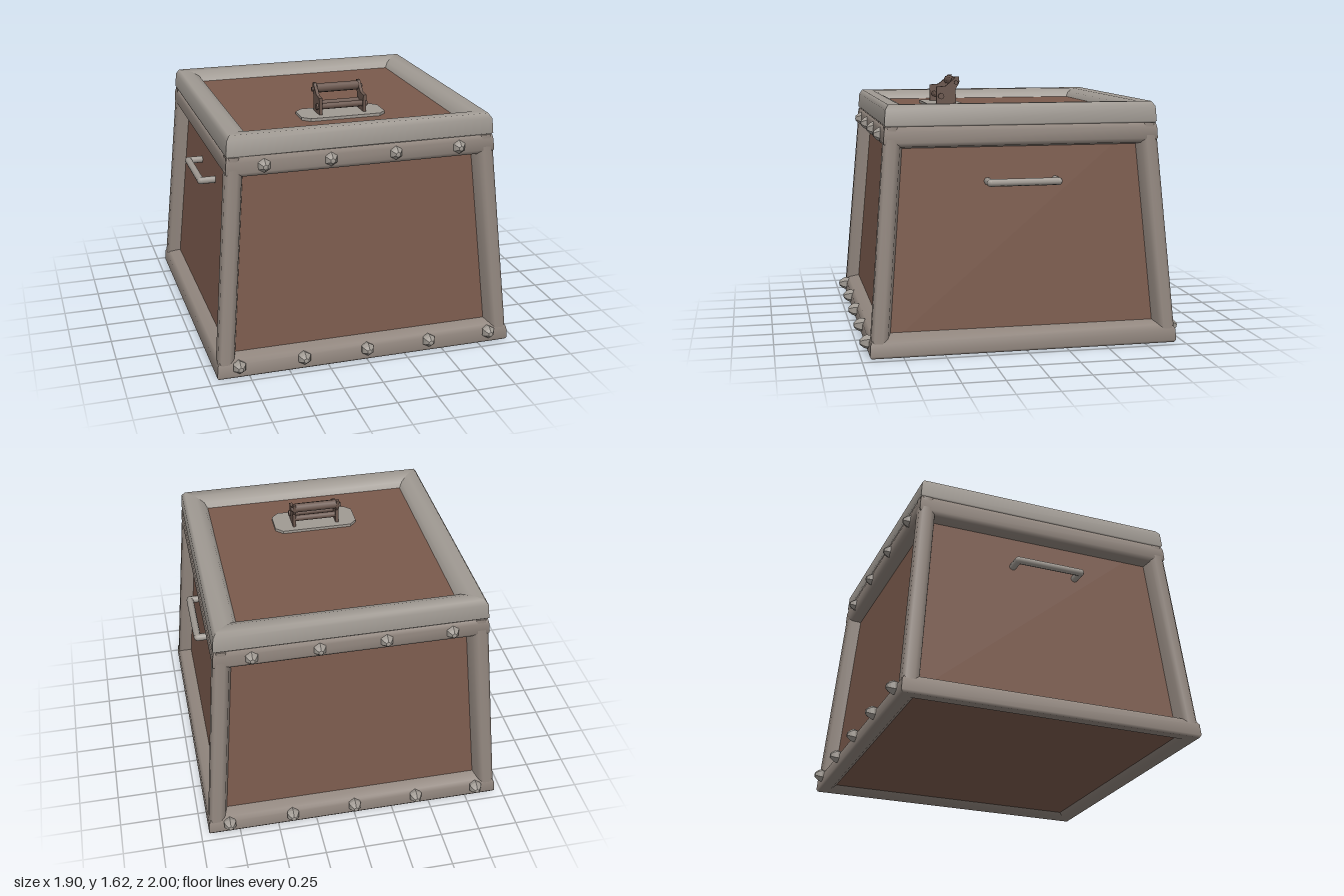
import * as THREE from 'three';

const mat = (color) => new THREE.MeshStandardMaterial({ color, side: THREE.DoubleSide });
const wood = mat(0x7a5a4c), metal = mat(0xa09a93), bronze = mat(0x90857d), dark = mat(0x6a564d);

function add(parent, name, geometry, material, x = 0, y = 0, z = 0) {
  const mesh = new THREE.Mesh(geometry, material);
  mesh.name = name;
  mesh.position.set(x, y, z);
  parent.add(mesh);
  return mesh;
}

// Skin between two matching rows of points, smooth along the rows
function strip(rowA, rowB) {
  const index = [];
  for (let i = 0; i < rowA.length - 1; i++) {
    const n = rowA.length;
    index.push(i, n + i, n + i + 1, i, n + i + 1, i + 1);
  }
  const g = new THREE.BufferGeometry();
  g.setAttribute('position', new THREE.Float32BufferAttribute([...rowA, ...rowB].flat(), 3));
  g.setIndex(index);
  g.computeVertexNormals();
  return g;
}

// Four mitred rails around the box from one [radius, height] profile
function squareRing(parent, name, profile, material) {
  const left = profile.map(([r, y]) => [-r, y, r]);
  const right = profile.map(([r, y]) => [r, y, r]);
  const g = strip(left, right);
  const ring = new THREE.Group();
  ring.name = name;
  for (let i = 0; i < 4; i++) add(ring, name + 'Side', g, material).rotation.y = i * Math.PI / 2;
  parent.add(ring);
}

// Square frustum with flat sides
function frustum(r0, r1, h) {
  const g = new THREE.CylinderGeometry(r1 * Math.SQRT2, r0 * Math.SQRT2, h, 4, 1).toNonIndexed();
  g.rotateY(Math.PI / 4);
  g.computeVertexNormals();
  return g;
}

export function createModel() {
  const model = new THREE.Group();
  model.name = 'chest';
  const outer = (y) => 0.95 - 0.085 * y; // half width of the tapering body

  // Body panels and lid panel
  add(model, 'bodyPanels', frustum(0.865, 0.75, 1.34), wood, 0, 0.70, 0);
  add(model, 'lidPanel', new THREE.BoxGeometry(1.42, 0.06, 1.42), wood, 0, 1.4, 0);

  // Rails and lid rim
  squareRing(model, 'bottomRail', [
    [0.84, 0.03], [0.87, 0.005], [0.94, 0], [0.95, 0.015], [0.945, 0.085], [0.925, 0.115], [0.845, 0.135]], bronze);
  squareRing(model, 'topRail', [
    [0.755, 1.225], [0.825, 1.24], [0.842, 1.265], [0.838, 1.33], [0.83, 1.36], [0.74, 1.37]], bronze);
  squareRing(model, 'lidRim', [
    [0.7, 1.36], [0.825, 1.36], [0.835, 1.37], [0.828, 1.46], [0.808, 1.49], [0.74, 1.488], [0.69, 1.465], [0.67, 1.43]], metal);

  // Corner posts
  const section = [[-0.123, -0.09], [-0.1, -0.015], [-0.07, 0], [-0.02, 0],
    [0, -0.02], [0, -0.07], [-0.015, -0.1], [-0.09, -0.123]];
  const row = (y) => section.map(([x, z]) => [outer(y) + x, y, outer(y) + z]);
  const post = strip(row(1.36), row(0.03));
  // the section runs from the front face round to the side, so rows go top to bottom
  for (let i = 0; i < 4; i++) add(model, 'cornerPost', post, bronze).rotation.y = i * Math.PI / 2;

  // Six-sided rivets on front and back
  const rivet = new THREE.LatheGeometry(
    [[0.036, -0.03], [0.044, 0.005], [0.034, 0.025], [0.016, 0.045], [0, 0.047]].map(([x, y]) => new THREE.Vector2(x, y)), 6)
    .toNonIndexed();
  rivet.computeVertexNormals();
  rivet.rotateY(Math.PI / 6 + Math.PI / 3 * 0.5 * 2).rotateX(Math.PI / 2);
  rivet.rotateZ(Math.PI / 6 * 2);
  rivet.rotateZ(Math.PI / 6);
  for (const turn of [0, Math.PI]) {
    const face = new THREE.Group();
    face.name = turn ? 'backRivets' : 'frontRivets';
    face.rotation.y = turn;
    for (let i = -2; i <= 2; i++) add(face, 'bottomRivet', rivet, metal, i * 0.407, 0.075, 0.953);
    for (let i = -1.5; i <= 1.5; i++) add(face, 'topRivet', rivet, metal, i * 0.407, 1.3, 0.832);
    model.add(face);
  }

  // Side grab handles
  for (const side of [-1, 1]) {
    const grab = new THREE.Group();
    grab.name = side > 0 ? 'leftGrabHandle' : 'rightGrabHandle';
    const bar = new THREE.CylinderGeometry(0.023, 0.023, 0.42, 8);
    add(grab, 'grabBar', bar, metal, side * 0.872, 1.02, 0).rotation.x = Math.PI / 2;
    for (const z of [-0.21, 0.21]) {
      add(grab, 'grabLeg', new THREE.CylinderGeometry(0.023, 0.023, 0.12, 8), metal, side * 0.812, 1.02, z)
        .rotation.z = Math.PI / 2;
      add(grab, 'grabElbow', new THREE.SphereGeometry(0.023, 8, 6), metal, side * 0.872, 1.02, z);
    }
    model.add(grab);
  }

  // Lid handle: clipped plate, two bent arms, three rods
  const handle = new THREE.Group();
  handle.name = 'lidHandle';
  const plate = new THREE.Shape([[-0.27, -0.07], [-0.225, -0.115], [0.225, -0.115], [0.27, -0.07],
    [0.27, 0.07], [0.225, 0.115], [-0.225, 0.115], [-0.27, 0.07]].map((p) => new THREE.Vector2(...p)));
  const plateGeo = new THREE.ExtrudeGeometry(plate, { depth: 0.02, bevelEnabled: false });
  plateGeo.rotateX(-Math.PI / 2);
  add(handle, 'handlePlate', plateGeo, metal, 0, 1.428, 0.365);

  // arm outline as [z, y]
  const arm = new THREE.Shape([[0.29, 1.44], [0.42, 1.44], [0.42, 1.555], [0.36, 1.56],
    [0.305, 1.605], [0.295, 1.62], [0.27, 1.62], [0.275, 1.57], [0.295, 1.54]].map((p) => new THREE.Vector2(...p)));
  const armGeo = new THREE.ExtrudeGeometry(arm, { depth: 0.02, bevelEnabled: false });
  armGeo.translate(0, 0, -0.01).rotateY(-Math.PI / 2);
  for (const x of [-0.143, 0.143]) add(handle, 'handleArm', armGeo, dark, x, 0, 0);

  const rod = (name, r, length, y, z) =>
    add(handle, name, new THREE.CylinderGeometry(r, r, length, 8), dark, 0, y, z).rotation.z = Math.PI / 2;
  rod('gripRod', 0.03, 0.27, 1.588, 0.295);
  rod('gripPin', 0.014, 0.33, 1.582, 0.292);
  rod('frontRod', 0.02, 0.33, 1.495, 0.39);
  rod('backRod', 0.02, 0.3, 1.495, 0.32);
  model.add(handle);

  return model;
}
